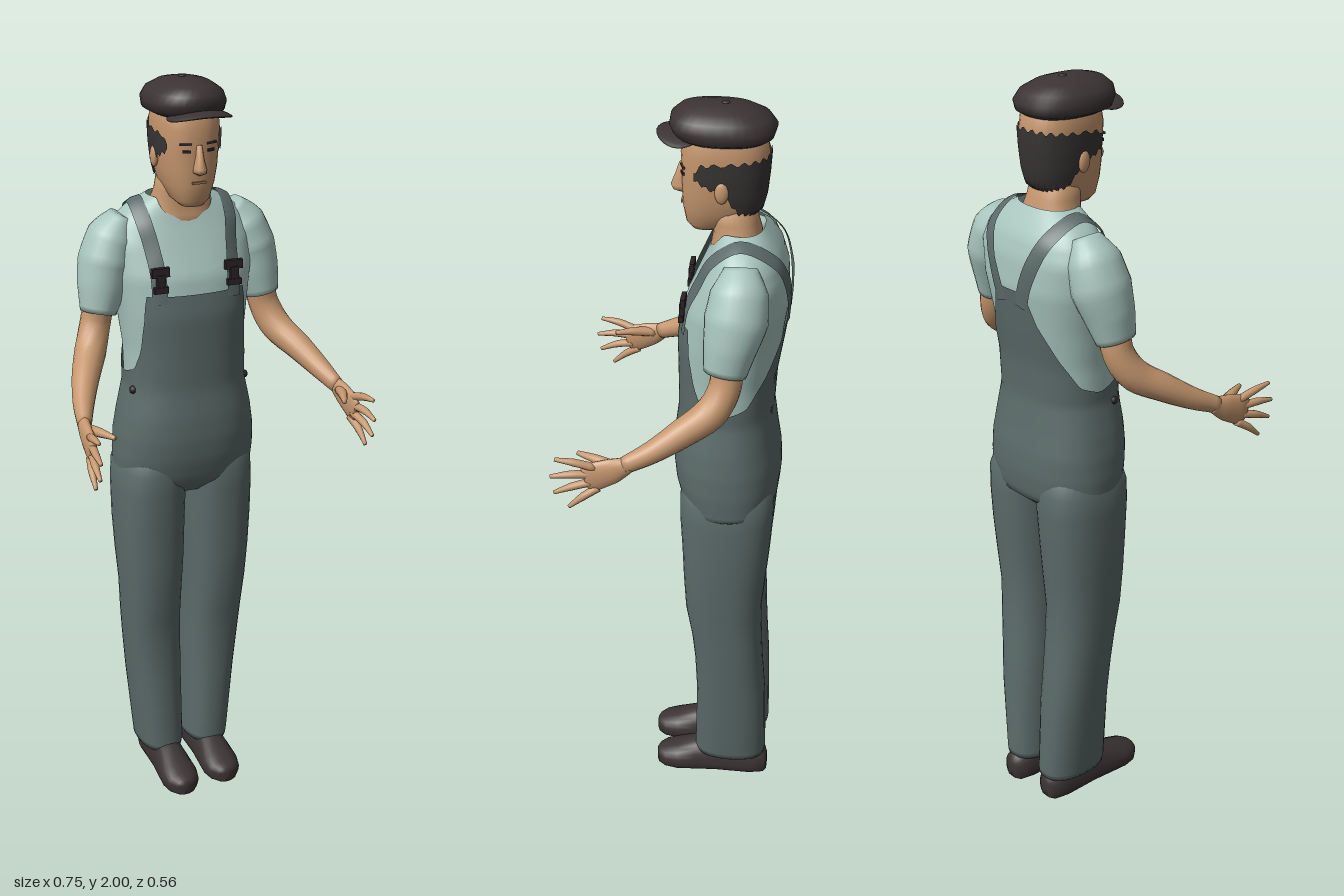
import * as THREE from 'three';

const mat = (name, color, side = THREE.FrontSide) => {
  const m = new THREE.MeshStandardMaterial({ color, side });
  m.name = name;
  return m;
};
const V = (x, y, z) => new THREE.Vector3(x, y, z);
const P = 0.85; // squareness of the cross-sections

// Surface through rings of points, optionally wrapped round and capped
function skin(rings, closed = true, caps = false) {
  const n = rings[0].length, pos = [], idx = [];
  rings.forEach(r => r.forEach(p => pos.push(p.x, p.y, p.z)));
  const m = closed ? n : n - 1;
  for (let j = 0; j < rings.length - 1; j++) {
    for (let i = 0; i < m; i++) {
      const a = j * n + i, b = j * n + (i + 1) % n;
      idx.push(a, b, b + n, a, b + n, a + n);
    }
  }
  if (caps) {
    [0, rings.length - 1].forEach(j => {
      const c = rings[j].reduce((s, p) => s.add(p), V(0, 0, 0)).divideScalar(n);
      const k = pos.length / 3;
      pos.push(c.x, c.y, c.z);
      for (let i = 0; i < n; i++) {
        const a = j * n + i, b = j * n + (i + 1) % n;
        if (j === 0) idx.push(k, b, a); else idx.push(k, a, b);
      }
    });
  }
  const g = new THREE.BufferGeometry();
  g.setAttribute('position', new THREE.Float32BufferAttribute(pos, 3));
  g.setIndex(idx);
  g.computeVertexNormals();
  return g;
}

// Linear lookup in rows sorted by their first value
function lookup(rows, t) {
  if (t <= rows[0][0]) return rows[0];
  for (let i = 1; i < rows.length; i++) {
    if (t <= rows[i][0]) {
      const k = (t - rows[i - 1][0]) / (rows[i][0] - rows[i - 1][0]);
      return rows[i].map((v, q) => v * k + rows[i - 1][q] * (1 - k));
    }
  }
  return rows[rows.length - 1];
}
const pw = v => Math.sign(v) * Math.abs(v) ** P;

// Point on a profile of rows [y, half width, front z, back z, centre x]; angle 0 is the front
function at([y, w, zf, zb, cx = 0], a, off = 0) {
  return V(cx + (w + off) * pw(Math.sin(a)), y, (zf + zb) / 2 + ((zf - zb) / 2 + off) * pw(Math.cos(a)));
}
function loft(rows, n = 32) {
  return skin(rows.map(r => Array.from({ length: n }, (_, i) => at(r, i / n * Math.PI * 2))), true, true);
}
// Part of a profile between two angles and two heights that depend on the angle
function patch(rows, a0, a1, bottom, top, off, closed, n = 96, m = 32) {
  const rings = [];
  for (let j = 0; j <= m; j++) {
    rings.push(Array.from({ length: closed ? n : n + 1 }, (_, i) => {
      const a = a0 + (a1 - a0) * i / n, y = bottom(a) + (top(a) - bottom(a)) * j / m;
      const r = lookup(rows, y).slice();
      r[0] = y;
      return at(r, a, off);
    }));
  }
  return skin(rings, closed);
}
function zAt(rows, x, y, s) {
  const [, w, zf, zb] = lookup(rows, y);
  return (zf + zb) / 2 + s * (zf - zb) / 2 * Math.max(0, 1 - (Math.abs(x) / w) ** (2 / P)) ** (P / 2);
}
// Tapered limb through points [x, y, z, radius, other radius]
function limb(pts, s, steps = 16, n = 16) {
  const curve = new THREE.CatmullRomCurve3(pts.map(p => V(p[0] * s, p[1], p[2])));
  const radii = pts.map((p, i) => [i / (pts.length - 1), p[3], p[4] ?? p[3]]);
  const rings = [];
  for (let j = 0; j <= steps; j++) {
    const t = j / steps, c = curve.getPoint(t), T = curve.getTangent(t);
    const U = V(1, 0, 0).addScaledVector(T, -T.x).normalize(), W = T.clone().cross(U);
    const [, ra, rb] = lookup(radii, t);
    rings.push(Array.from({ length: n }, (_, i) => {
      const a = i / n * Math.PI * 2;
      return c.clone().addScaledVector(U, ra * Math.cos(a)).addScaledVector(W, rb * Math.sin(a));
    }));
  }
  return skin(rings, true, true);
}

const BODY = [
  [0.89, 0.12, -0.05, -0.2], [0.93, 0.184, -0.01, -0.247], [1.0, 0.187, 0.008, -0.255], [1.06, 0.184, 0.014, -0.253],
  [1.12, 0.175, 0.012, -0.243], [1.2, 0.158, 0.002, -0.232], [1.3, 0.16, 0.003, -0.237], [1.4, 0.172, 0.005, -0.253],
  [1.5, 0.19, -0.01, -0.267], [1.58, 0.195, -0.045, -0.262], [1.63, 0.172, -0.066, -0.247],
  [1.66, 0.145, -0.077, -0.228], [1.68, 0.112, -0.085, -0.212], [1.695, 0.083, -0.09, -0.2]];
const HEAD = [
  [1.683, 0.03, -0.022, -0.09], [1.7, 0.048, -0.008, -0.13], [1.74, 0.066, 0, -0.19], [1.78, 0.075, 0.002, -0.2],
  [1.83, 0.08, 0.003, -0.205], [1.88, 0.082, 0.006, -0.208], [1.93, 0.08, -0.005, -0.2], [1.96, 0.06, -0.03, -0.17]];

export function createModel() {
  const root = new THREE.Group();
  const skinM = mat('skin', 0xc6976f);
  const shirtM = mat('shirt', 0xa8c5bd, THREE.DoubleSide);
  const denim = mat('overalls', 0x5b6b69, THREE.DoubleSide);
  const hatM = mat('hat and shoes', 0x3b3334);
  const hairM = mat('hair', 0x383434, THREE.DoubleSide);
  const metal = mat('buckles', 0x2a2226);
  const lipM = mat('lips', 0x9c6c52);
  const add = (name, geo, m, x = 0, y = 0, z = 0) => {
    const o = new THREE.Mesh(geo, m);
    o.name = name;
    o.position.set(x, y, z);
    root.add(o);
    return o;
  };
  const TAU = Math.PI * 2;
  const fold = a => Math.PI - Math.abs(Math.PI - a); // angle measured from the front on either side

  // Shirt with a scooped neckline
  add('shirt', patch(BODY, 0, TAU, () => 1.18, a => 1.694 - 0.05 * Math.max(0, Math.cos(a)) ** 6, 0, true), shirtM);

  // Overalls: front bib, low sides, narrow back
  const edge = [[0, 1.46], [0.74, 1.46], [0.82, 1.41], [1.0, 1.31], [1.2, 1.255], [1.6, 1.235],
    [2.0, 1.255], [2.4, 1.33], [2.75, 1.42], [2.93, 1.5], [3.15, 1.5]];
  add('overallsBody', patch(BODY, 0, TAU, () => 0.89, a => lookup(edge, fold(a))[1], 0.006, true), denim);

  // Head, neck and face
  add('head', loft(HEAD), skinM);
  add('neck', loft([[1.6, 0.09, -0.062, -0.2], [1.65, 0.085, -0.07, -0.198], [1.68, 0.078, -0.075, -0.193],
    [1.71, 0.068, -0.07, -0.185], [1.77, 0.062, -0.06, -0.17]]), skinM);
  add('nose', loft([[1.77, 0.006, 0.012, -0.02], [1.777, 0.017, 0.026, -0.02], [1.787, 0.016, 0.031, -0.02],
    [1.815, 0.01, 0.02, -0.02], [1.845, 0.008, 0.01, -0.02]], 12), skinM);
  add('mouth', new THREE.BoxGeometry(0.036, 0.006, 0.008), lipM, 0, 1.75, 0);
  const low = [[0.95, 1.83], [1.3, 1.812], [1.6, 1.8], [1.72, 1.775], [1.95, 1.745], [3.15, 1.728]];
  const high = [[0.95, 1.845], [1.15, 1.868], [1.6, 1.875], [3.15, 1.885]];
  add('hair', patch(HEAD, 0.95, TAU - 0.95,
    a => lookup(low, fold(a))[1] + 0.005 * Math.sin(a * 31),
    a => lookup(high, fold(a))[1] + 0.005 * Math.sin(a * 23), 0.005, false, 80, 10), hairM);

  // Flat cap with peak and top button
  add('cap', loft([[1.912, 0.08, 0, -0.2, -0.003], [1.922, 0.097, 0.022, -0.217, -0.005], [1.945, 0.1, 0.034, -0.224, -0.005],
    [1.968, 0.09, 0.03, -0.207, -0.005], [1.986, 0.064, 0.01, -0.172, -0.005], [1.996, 0.03, -0.03, -0.125, -0.005]]), hatM);
  const peak = new THREE.SphereGeometry(1, 32, 12).scale(0.084, 0.009, 0.06);
  const pp = peak.attributes.position;
  for (let i = 0; i < pp.count; i++) pp.setY(i, pp.getY(i) - 2 * pp.getX(i) ** 2);
  peak.computeVertexNormals();
  add('capPeak', peak, hatM, 0, 1.926, 0.004);
  add('capButton', new THREE.SphereGeometry(0.01, 12, 8).scale(1, 0.4, 1), hatM, -0.005, 1.996, -0.1);

  for (const s of [1, -1]) {
    const side = s > 0 ? 'left' : 'right';
    // Eyes, brows and ears
    const eyeZ = zAt(HEAD, 0.032, 1.835, 1);
    add(side + 'Eye', new THREE.BoxGeometry(0.02, 0.007, 0.006), metal, s * 0.032, 1.83, eyeZ).rotation.y = s * 0.3;
    add(side + 'Brow', new THREE.BoxGeometry(0.03, 0.005, 0.006), hairM, s * 0.034, 1.848, eyeZ).rotation.y = s * 0.3;
    add(side + 'Ear', new THREE.SphereGeometry(1, 16, 12).scale(0.01, 0.028, 0.017), skinM, s * 0.081, 1.803, -0.1);

    // Sleeve and arm
    add(side + 'Sleeve', limb([[0.15, 1.645, -0.155, 0.03, 0.04], [0.178, 1.595, -0.155, 0.062, 0.07], [0.2, 1.53, -0.15, 0.07, 0.078],
      [0.215, 1.465, -0.138, 0.063, 0.066], [0.229, 1.4, -0.128, 0.047, 0.053]], s, 20, 24), shirtM);
    add(side + 'Arm', limb([[0.222, 1.45, -0.13, 0.04], [0.238, 1.37, -0.13, 0.04], [0.262, 1.31, -0.1, 0.042],
      [0.3, 1.265, -0.03, 0.036], [0.33, 1.225, 0.04, 0.028], [0.35, 1.195, 0.105, 0.018, 0.022]], s, 24), skinM);

    // Hand with spread fingers
    add(side + 'Palm', limb([[0.349, 1.2, 0.09, 0.016, 0.02], [0.354, 1.182, 0.13, 0.016, 0.034],
      [0.358, 1.165, 0.175, 0.014, 0.04], [0.36, 1.157, 0.2, 0.009, 0.03]], s), skinM);
    const fingers = [[1.19, 0.175, 1.213, 0.272], [1.17, 0.185, 1.163, 0.284], [1.148, 0.183, 1.117, 0.276], [1.132, 0.168, 1.078, 0.24]];
    fingers.forEach(([y0, z0, y1, z1], i) => add(side + 'Finger' + (i + 1), limb([[0.358, y0, z0, 0.011],
      [0.366, (y0 + y1) / 2 + 0.004, (z0 + z1) / 2, 0.01], [0.369, y1, z1, 0.005]], s, 8, 10), skinM));
    add(side + 'Thumb', limb([[0.35, 1.19, 0.12, 0.014], [0.332, 1.198, 0.175, 0.012], [0.312, 1.2, 0.224, 0.006]], s, 8, 10), skinM);

    // Strap from the bib over the shoulder to the back
    const f = (x, y, d) => V(x * s, y, zAt(BODY, x, y, d));
    const path = new THREE.CatmullRomCurve3([f(0.1, 1.44, 1), f(0.1, 1.51, 1), f(0.106, 1.58, 1), f(0.115, 1.635, 1),
      V(0.117 * s, 1.677, -0.15), f(0.102, 1.635, -1), f(0.078, 1.58, -1), f(0.054, 1.52, -1), f(0.036, 1.46, -1)]);
    const rings = [];
    for (let j = 0; j <= 48; j++) {
      const p = path.getPoint(j / 48), T = path.getTangent(j / 48);
      const N = p.clone().sub(V(p.x * 0.6, Math.min(p.y, 1.56), -0.15)).normalize();
      const A = T.clone().cross(N).normalize();
      p.addScaledVector(N, 0.01);
      rings.push([-1, 0, 1].map(k => p.clone().addScaledVector(A, k * 0.02).addScaledVector(N, k ? -0.003 : 0)));
    }
    add(side + 'Strap', skin(rings, false), denim);

    // Buckle and waist button
    const bz = zAt(BODY, 0.1, 1.5, 1) + 0.014;
    add(side + 'Buckle', new THREE.BoxGeometry(0.048, 0.024, 0.012), metal, s * 0.1, 1.525, bz - 0.003);
    add(side + 'BuckleClip', new THREE.BoxGeometry(0.022, 0.045, 0.012), metal, s * 0.1, 1.497, bz);
    add(side + 'BuckleStud', new THREE.BoxGeometry(0.038, 0.016, 0.012), metal, s * 0.1, 1.48, bz + 0.002);
    add(side + 'WaistButton', new THREE.SphereGeometry(0.011, 12, 8), metal, s * 0.157, 1.195, -0.07);

    // Trouser leg
    const c = x => x * s - 0.004;
    add(side + 'Leg', loft([[0.068, 0.062, -0.05, -0.245, c(0.069)], [0.085, 0.064, -0.046, -0.247, c(0.069)],
      [0.3, 0.074, -0.05, -0.242, c(0.081)], [0.42, 0.078, -0.045, -0.233, c(0.088)], [0.5, 0.08, -0.037, -0.229, c(0.092)],
      [0.6, 0.083, -0.02, -0.225, c(0.095)], [0.7, 0.09, -0.014, -0.234, c(0.096)], [0.8, 0.094, -0.01, -0.243, c(0.097)],
      [0.9, 0.096, -0.004, -0.25, c(0.096)], [0.96, 0.094, -0.004, -0.25, c(0.095)], [1.03, 0.08, -0.02, -0.23, c(0.085)]]), denim);

    // Shoe, swept from heel to toe
    const shoe = [[-0.238, 0.018, 0.045], [-0.23, 0.036, 0.07], [-0.19, 0.046, 0.095], [-0.09, 0.045, 0.105], [-0.03, 0.05, 0.085],
      [0.02, 0.054, 0.064], [0.055, 0.046, 0.053], [0.075, 0.028, 0.043], [0.081, 0.01, 0.036]];
    add(side + 'Shoe', skin(shoe.map(([z, w, h]) => Array.from({ length: 24 }, (_, i) => {
      const a = i / 24 * TAU, q = Math.sin(a);
      return V(w * pw(Math.cos(a)), 0.025 + (q > 0 ? (h - 0.025) * q : 0.025 * Math.max(-1, 1.8 * q)), z);
    })), true, true), hatM, c(0.066), 0, s > 0 ? -0.015 : 0);
  }
  return root;
}
